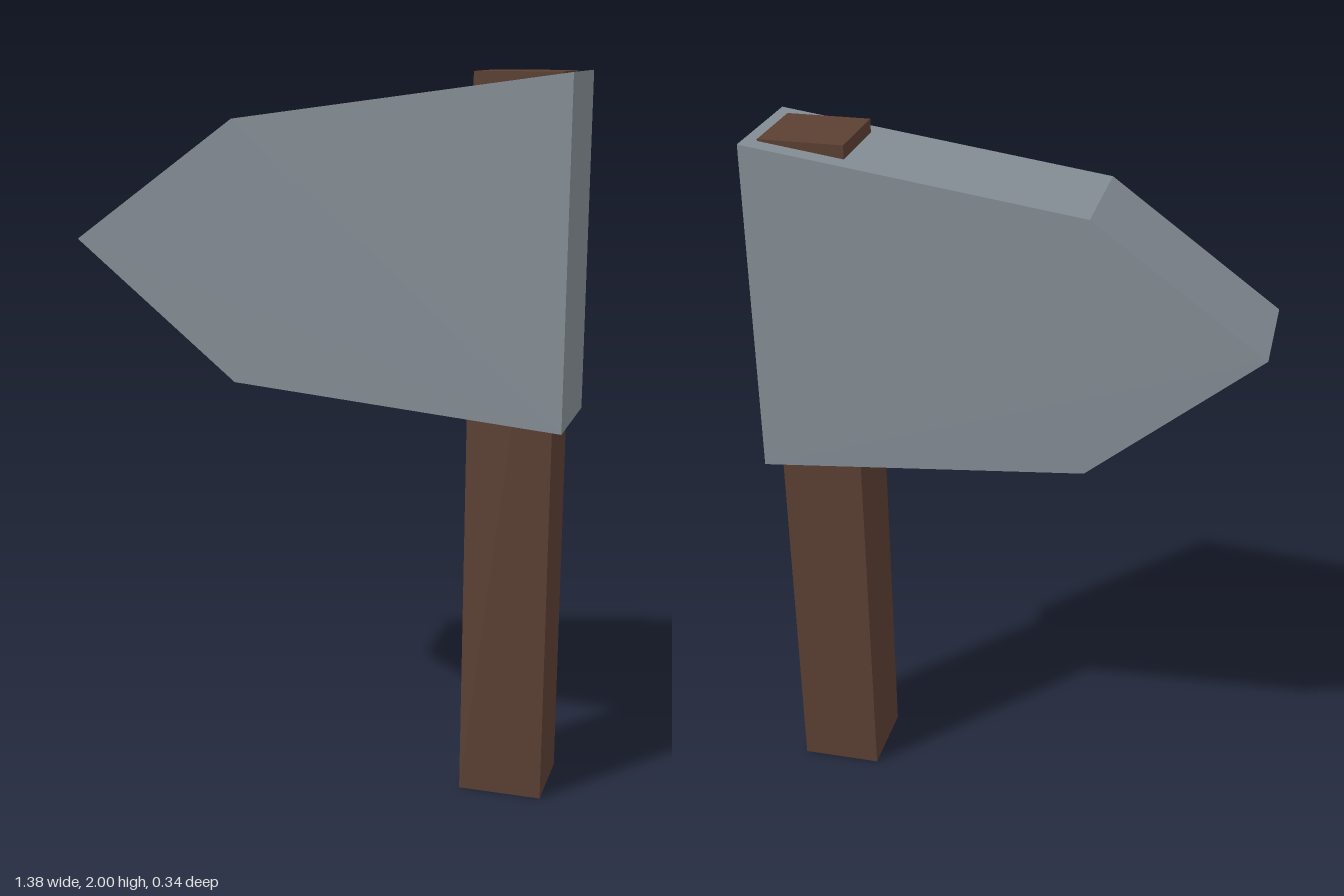
import * as THREE from 'three';

export function createModel() {
  const model = new THREE.Group();
  model.name = 'hammer';

  const steel = new THREE.MeshStandardMaterial({ color: 0x868e96 });
  steel.name = 'steel grey';
  const wood = new THREE.MeshStandardMaterial({ color: 0x5c4033 });
  wood.name = 'dark wood';

  // Square handle, passing right through the head
  const handle = new THREE.Mesh(new THREE.BoxGeometry(0.232, 2, 0.232), wood);
  handle.name = 'handle';
  handle.position.set(0.54, 1, 0);
  model.add(handle);

  // Head: tapered block ending in a wedge on the right
  const depth = 0.336;
  const profile = new THREE.Shape([
    [0.69, 1.07], [0.69, 2.0], [-0.225, 1.873], [-0.69, 1.535], [-0.225, 1.153],
  ].map(([x, y]) => new THREE.Vector2(x, y)));
  const headGeometry = new THREE.ExtrudeGeometry(profile, { depth, bevelEnabled: false });
  headGeometry.translate(0, 0, -depth / 2);
  const head = new THREE.Mesh(headGeometry, steel);
  head.name = 'head';
  model.add(head);

  return model;
}
